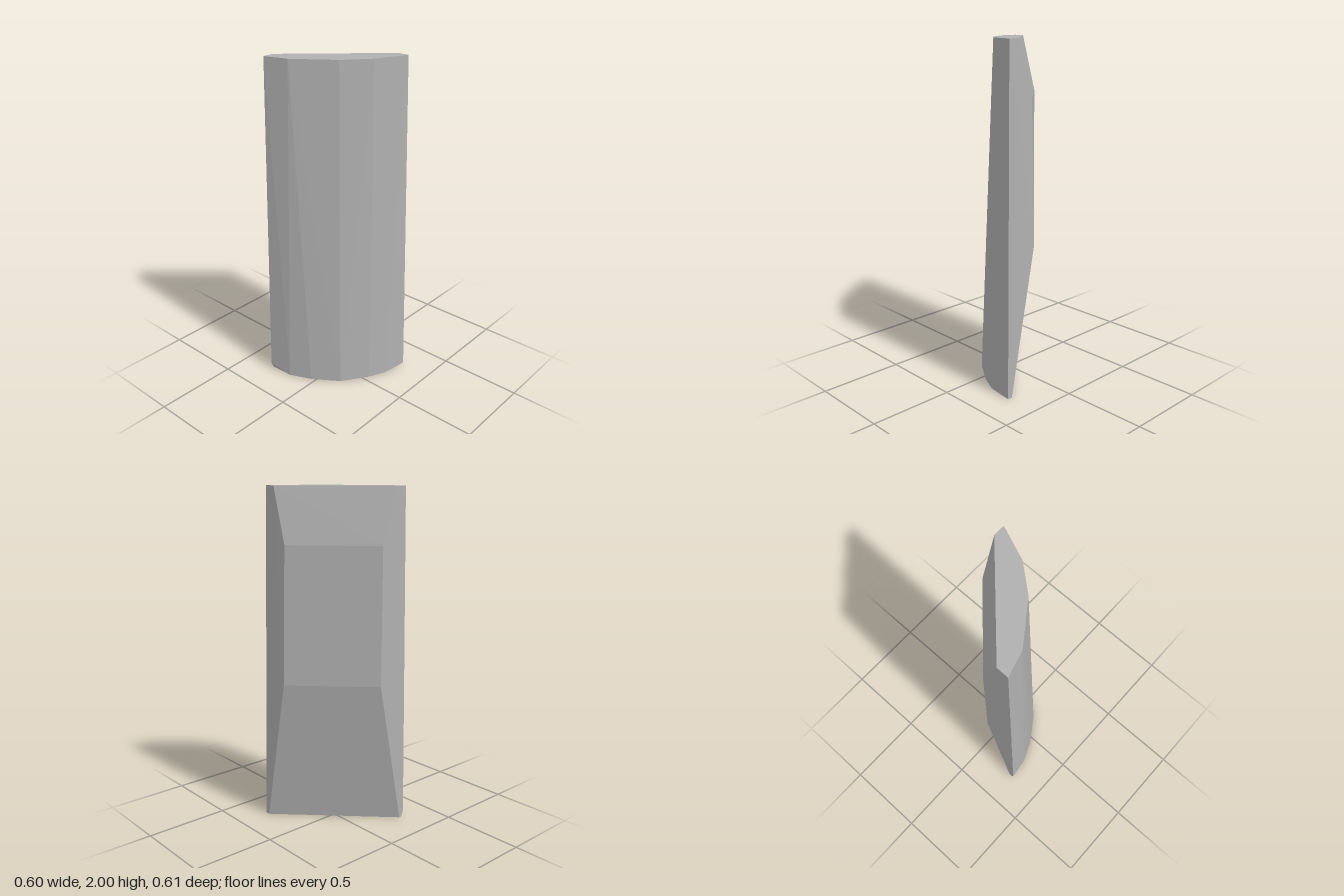
import * as THREE from 'three';
import { ConvexGeometry } from 'three/addons/geometries/ConvexGeometry.js';

export function createModel() {
  const group = new THREE.Group();
  group.name = 'curvedSlab';
  const grey = new THREE.MeshStandardMaterial({ color: 0xb0b0b0 });
  grey.name = 'grey';

  // Horizontal outlines as [x, z] at a given height
  const ring = (y, pts) => pts.map(([x, z]) => new THREE.Vector3(x, y, z));

  const points = [
    // top cap: curved front edge, then the straight back edge
    ...ring(2, [[-0.3, 0.26], [-0.158, 0.22], [0.063, 0.06], [0.184, -0.085],
      [0.263, -0.277], [0.195, -0.277], [-0.3, 0.19]]),
    // raised back panel, upper and lower edges
    ...ring(1.68, [[0.1, -0.281], [-0.3, 0.092]]),
    ...ring(0.875, [[0.097, -0.304], [-0.3, 0.092]]),
    // chipped front corner just above the base
    ...ring(0.035, [[-0.3, 0.302]]),
    // base
    ...ring(0, [[-0.3, 0.285], [-0.158, 0.278], [-0.027, 0.22], [0.124, 0.116],
      [0.228, -0.037], [0.279, -0.146], [0.299, -0.304], [0.27, -0.304], [-0.3, 0.27]]),
  ];

  // Faceted body wrapped around the outlines
  const slab = new THREE.Mesh(new ConvexGeometry(points), grey);
  slab.name = 'slabBody';
  group.add(slab);
  return group;
}
